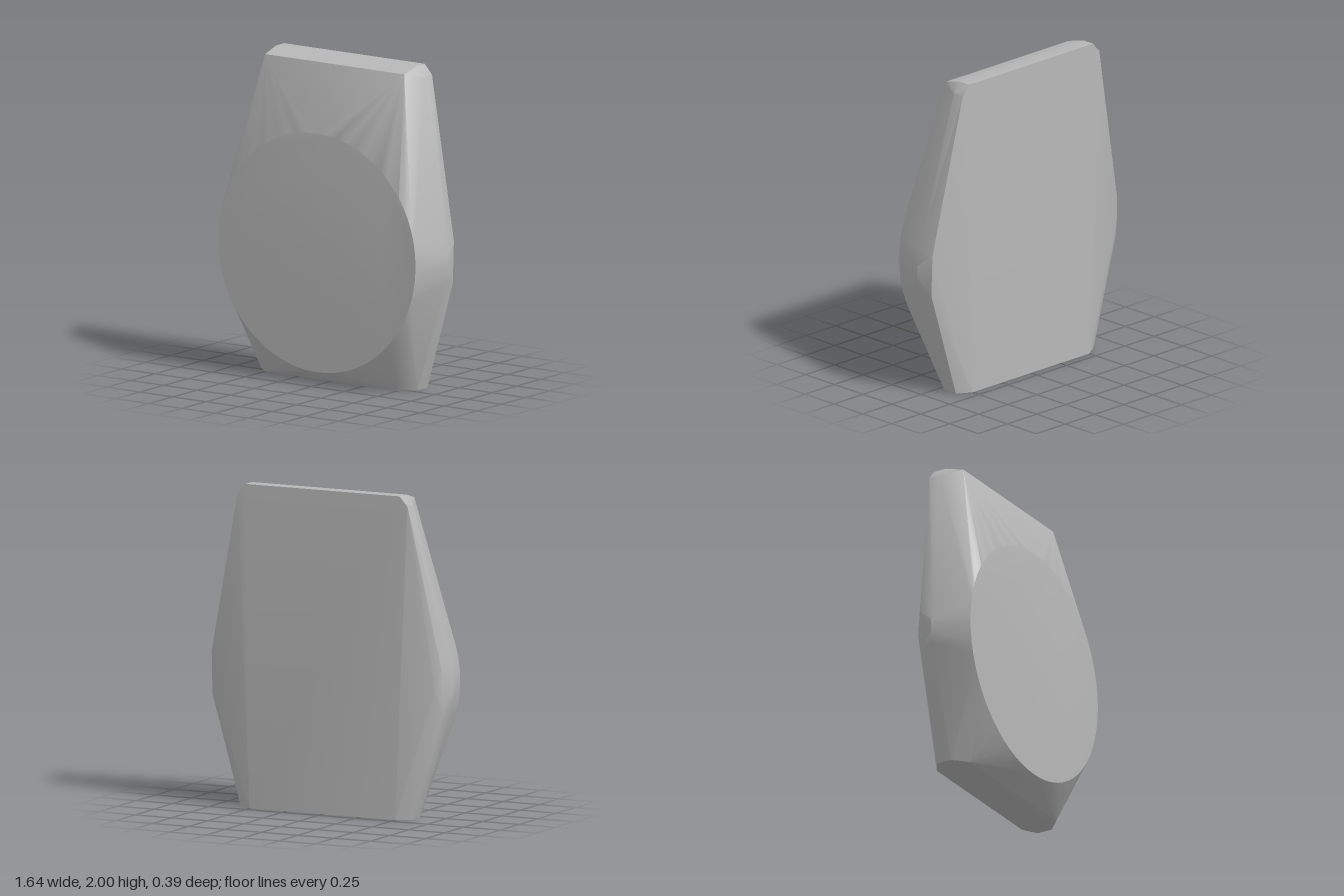
import * as THREE from 'three';
import { ConvexGeometry } from 'three/addons/geometries/ConvexGeometry.js';
import { toCreasedNormals } from 'three/addons/utils/BufferGeometryUtils.js';

export function createModel() {
  const group = new THREE.Group();
  const stone = new THREE.MeshStandardMaterial({ color: 0xb8b8b8 });
  stone.name = 'stone grey';

  const points = [];

  // Round flat front face
  const segments = 64;
  for (let i = 0; i < segments; i++) {
    const a = (i / segments) * Math.PI * 2;
    points.push(new THREE.Vector3(0.745 * Math.sin(a), 0.825 + 0.745 * Math.cos(a), 0.195));
  }

  // Corners of the body, mirrored left and right
  const corners = [
    // base
    [0.5, 0, 0.045], [0.59, 0, -0.04], [0.59, 0, -0.14], [0.5, 0, -0.195],
    // widest part of the flank
    [0.803, 0.97, -0.04], [0.82, 0.86, -0.04], [0.82, 0.78, -0.04], [0.808, 0.7, -0.04],
    // rear edge of the flank
    [0.79, 0.94, -0.14], [0.79, 0.68, -0.13],
    // top edge
    [0.525, 1.967, 0.01], [0.585, 1.94, -0.12], [0.585, 1.94, -0.195],
    [0.53, 2, -0.11], [0.53, 2, -0.195],
  ];
  for (const side of [-1, 1]) {
    for (const [x, y, z] of corners) points.push(new THREE.Vector3(side * x, y, z));
  }

  // Extra swelling on the right rear edge
  points.push(new THREE.Vector3(-0.76, 0.8, -0.17));

  // Hull with soft facets and sharp main edges
  const geometry = toCreasedNormals(new ConvexGeometry(points), THREE.MathUtils.degToRad(30));
  const body = new THREE.Mesh(geometry, stone);
  body.name = 'body';
  group.add(body);
  return group;
}
